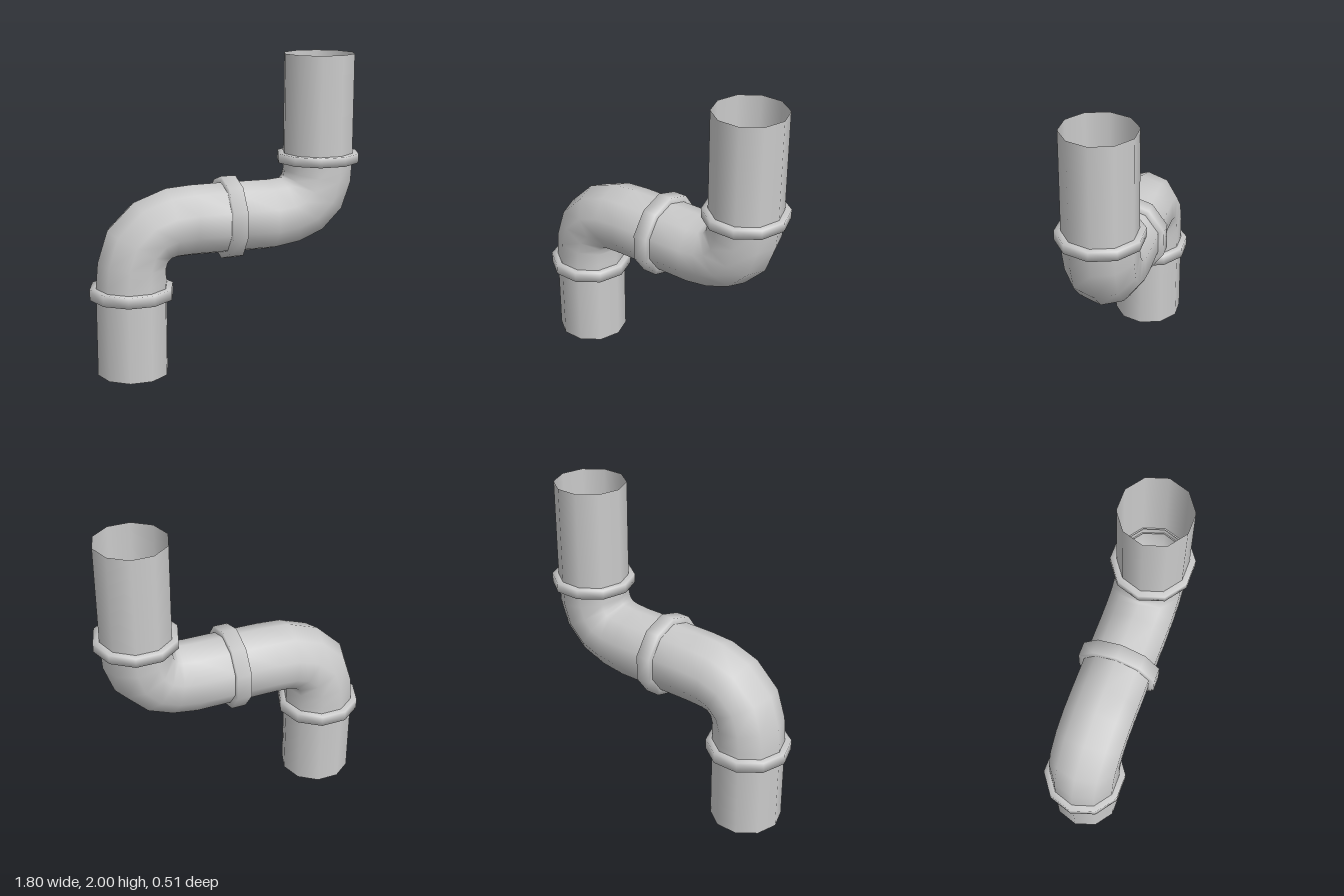
import * as THREE from 'three';

const SIDES = 10, R = 0.23, COLLAR_R = 0.27;

export function createModel() {
  const group = new THREE.Group();
  const material = new THREE.MeshStandardMaterial({ color: 0xcccccc, side: THREE.DoubleSide });

  const add = (name, geometry, x = 0, y = 0) => {
    const mesh = new THREE.Mesh(geometry, material);
    mesh.name = name;
    mesh.position.set(x, y, 0);
    group.add(mesh);
    return mesh;
  };

  // Open straight pipe between two heights
  const straight = (name, x, y0, y1) =>
    add(name, new THREE.CylinderGeometry(R, R, y1 - y0, SIDES, 1, true, Math.PI / 2), x, (y0 + y1) / 2);

  // Collar with softly shaded edges, centred on its own axis
  const collar = (name, x, y, h) => {
    const profile = [[R - 0.01, -h / 2], [COLLAR_R, -h / 2], [COLLAR_R, h / 2], [R - 0.01, h / 2]]
      .map(([r, v]) => new THREE.Vector2(r, v));
    return add(name, new THREE.LatheGeometry(profile, SIDES, Math.PI / 2), x, y);
  };

  // Bent pipe: each ring is given by two opposite points, [x1, y1, x2, y2]
  const elbow = (name, rings) => {
    const positions = [], index = [];
    rings.forEach(([x1, y1, x2, y2], i) => {
      for (let j = 0; j < SIDES; j++) {
        const a = (j / SIDES) * Math.PI * 2, c = Math.cos(a) / 2;
        positions.push((x1 + x2) / 2 + (x1 - x2) * c, (y1 + y2) / 2 + (y1 - y2) * c, R * Math.sin(a));
        if (i === 0) continue;
        const k = (j + 1) % SIDES, lo = (i - 1) * SIDES, hi = i * SIDES;
        index.push(lo + j, lo + k, hi + k, lo + j, hi + k, hi + j);
      }
    });
    const geometry = new THREE.BufferGeometry();
    geometry.setAttribute('position', new THREE.Float32BufferAttribute(positions, 3));
    geometry.setIndex(index);
    geometry.computeVertexNormals();
    return add(name, geometry);
  };

  // Vertical ends
  straight('lowerPipe', -0.63, 0, 0.54);
  straight('upperPipe', 0.625, 1.33, 2);

  // Bends, meeting under the middle collar
  elbow('lowerElbow', [
    [-0.86, 0.54, -0.40, 0.54],
    [-0.858, 0.6, -0.40, 0.62],
    [-0.845, 0.74, -0.40, 0.69],
    [-0.78, 0.94, -0.393, 0.718],
    [-0.605, 1.11, -0.382, 0.73],
    [-0.40, 1.185, -0.36, 0.735],
    [-0.24, 1.197, -0.25, 0.74],
    [0.012, 1.2, 0.012, 0.74],
  ]);
  elbow('upperElbow', [
    [0.012, 1.2, 0.012, 0.74],
    [0.28, 1.2, 0.29, 0.74],
    [0.36, 1.207, 0.46, 0.767],
    [0.38, 1.21, 0.635, 0.838],
    [0.39, 1.222, 0.78, 0.985],
    [0.395, 1.25, 0.845, 1.17],
    [0.395, 1.33, 0.855, 1.33],
  ]);

  // Joint collars
  collar('lowerCollar', -0.63, 0.537, 0.07);
  collar('upperCollar', 0.625, 1.332, 0.06);
  collar('middleCollar', 0.013, 0.97, 0.095).rotation.z = Math.PI / 2;

  return group;
}
